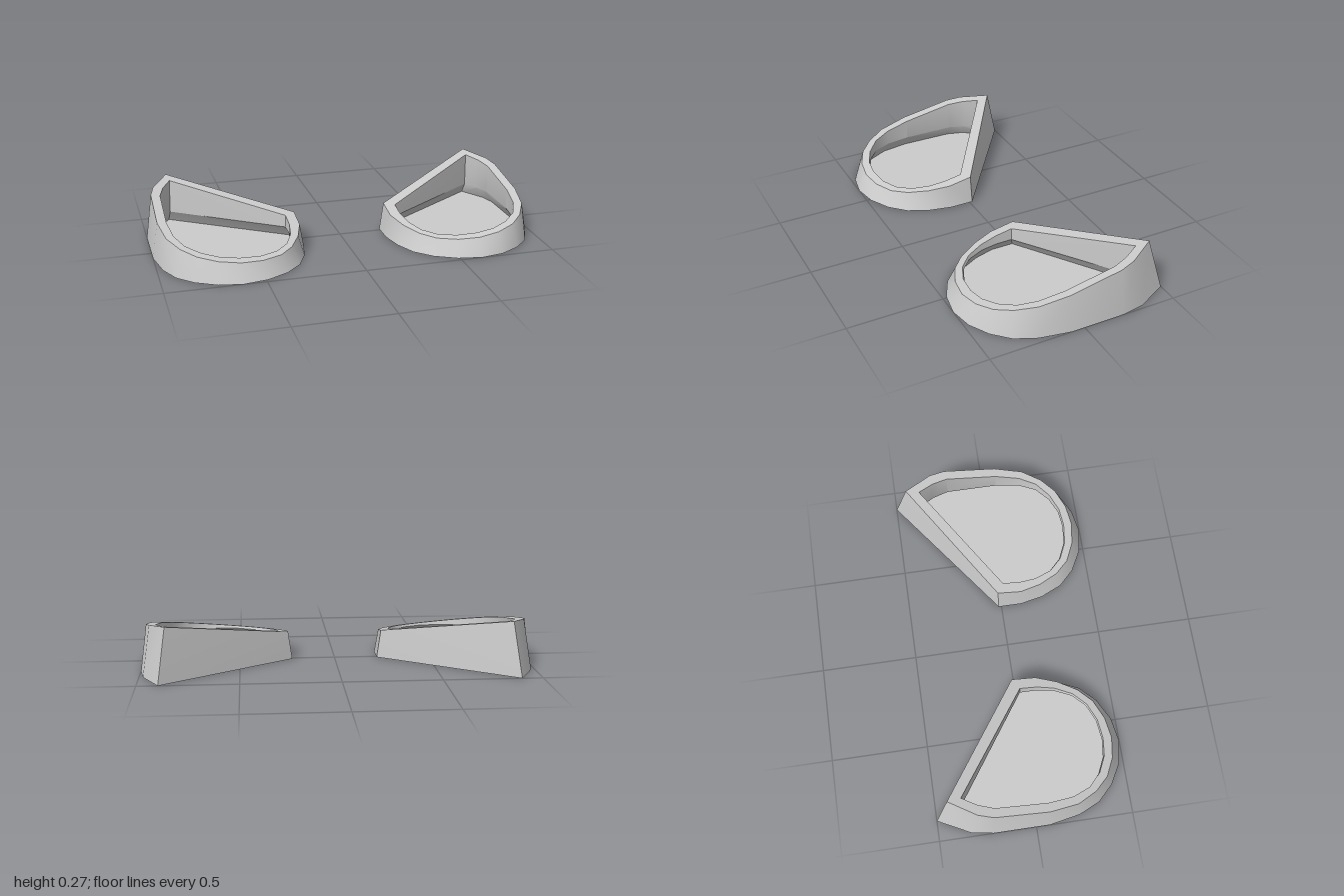
import * as THREE from 'three';
import { toCreasedNormals } from 'three/addons/utils/BufferGeometryUtils.js';

// Outlines [x, z] of the left tray: back corner, outer side, round front, inner corner
const BASE = [[0.895, -0.5], [0.98, -0.335], [1, -0.22], [1, 0.07], [0.97, 0.23], [0.92, 0.34], [0.84, 0.42], [0.735, 0.478],
  [0.615, 0.5], [0.49, 0.478], [0.38, 0.42], [0.3, 0.34], [0.25, 0.23], [0.225, 0.11], [0.225, -0.015]];
const RIM = [[0.86, -0.43], [0.945, -0.29], [0.967, -0.21], [0.97, 0.07], [0.945, 0.22], [0.89, 0.32], [0.82, 0.39], [0.725, 0.435],
  [0.615, 0.452], [0.505, 0.435], [0.405, 0.39], [0.335, 0.32], [0.28, 0.22], [0.246, 0.11], [0.246, -0.015]];
const POCKET = [[0.85, -0.36], [0.895, -0.28], [0.92, -0.2], [0.923, 0.07], [0.905, 0.2], [0.865, 0.29], [0.795, 0.355], [0.71, 0.395],
  [0.615, 0.407], [0.51, 0.395], [0.42, 0.355], [0.355, 0.29], [0.315, 0.2], [0.3, 0.11], [0.3, 0.02]];

const CREASE_Y = 0.08, FLOOR_Y = 0.017;
// The rim lies in one tilted plane
const rimY = (x, z) => 0.146 + 0.083 * (x - 0.25) - 0.184 * (z + 0.01);
// Scale a point about the middle of the pocket
const scaled = (x, z, s, y) => [0.62 + (x - 0.62) * s, y, 0.05 + (z - 0.05) * s];

function trayGeometry(side) {
  const rings = [
    BASE.map(([x, z]) => [x, 0, z]),
    RIM.map(([x, z]) => [x, rimY(x, z), z]),
    POCKET.map(([x, z]) => [x, rimY(x, z), z]),
    // the pocket wall drops to a level crease, then flares out under it to the floor
    POCKET.map(([x, z]) => scaled(x, z, 0.98 + 0.2 * (rimY(x, z) - CREASE_Y), CREASE_Y)),
    POCKET.map(([x, z], i) => [x + (RIM[i][0] - x) * 0.8, FLOOR_Y, z + (RIM[i][1] - z) * 0.8]),
  ];
  const pos = [];
  const tri = (a, b, c) => {
    for (const p of side > 0 ? [a, b, c] : [a, c, b]) pos.push(p[0] * side, p[1], p[2]);
  };
  const n = BASE.length;
  for (let i = 0; i < n; i++) {
    const j = (i + 1) % n;
    for (let r = 0; r < rings.length - 1; r++) {
      const lo = rings[r], hi = rings[r + 1];
      tri(lo[i], hi[i], lo[j]);
      tri(lo[j], hi[i], hi[j]);
    }
    // underside and pocket floor
    tri([0.62, 0, 0.05], rings[0][i], rings[0][j]);
    tri([0.62, FLOOR_Y, 0.05], rings[4][j], rings[4][i]);
  }
  const g = new THREE.BufferGeometry();
  g.setAttribute('position', new THREE.Float32BufferAttribute(pos, 3));
  return toCreasedNormals(g, 0.5);
}

export function createModel() {
  const group = new THREE.Group();
  const grey = new THREE.MeshStandardMaterial({ color: 0xcccccc });
  for (const side of [1, -1]) {
    const tray = new THREE.Mesh(trayGeometry(side), grey);
    tray.name = side > 0 ? 'leftTray' : 'rightTray';
    group.add(tray);
  }
  return group;
}
